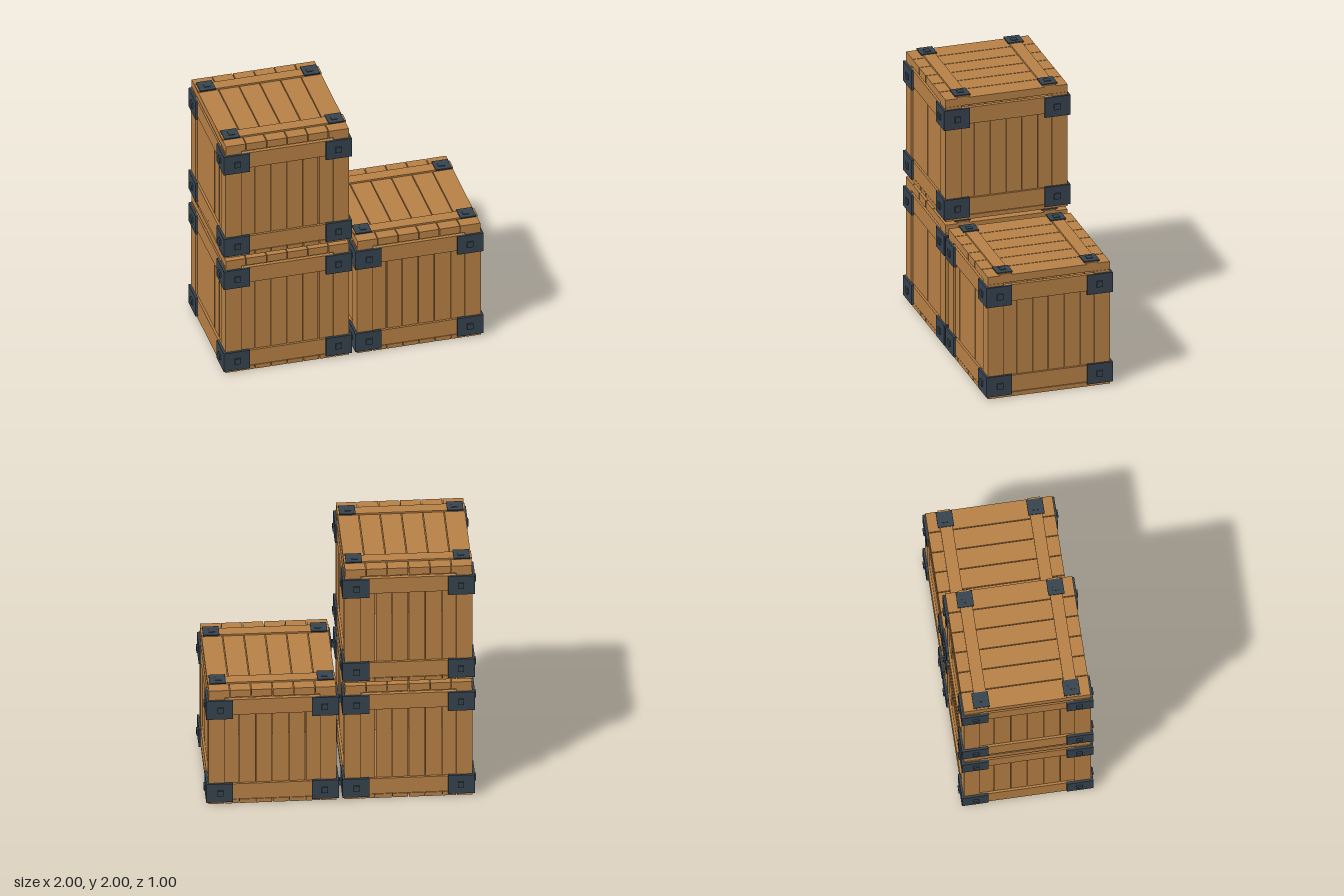
import * as THREE from 'three';

const wood = new THREE.MeshStandardMaterial({ color: 0xb88146 });
wood.name = 'wood';
const metal = new THREE.MeshStandardMaterial({ color: 0x36434e });
metal.name = 'darkMetal';

// Box given by its size and centre
function box(parent, name, material, size, centre) {
  const mesh = new THREE.Mesh(new THREE.BoxGeometry(...size), material);
  mesh.name = name;
  mesh.position.set(...centre);
  parent.add(mesh);
  return mesh;
}

// One wall facing +z: six upright planks and two flush rails between the posts
function createWall(wideGap) {
  const wall = new THREE.Group();
  wall.name = 'wall';
  const edges = [-0.352, -0.245, -0.122, 0, 0.122, 0.245, 0.352];
  for (let i = 0; i < 6; i++) {
    const a = edges[i] + 0.002;
    const b = edges[i + 1] - (wideGap && i === 4 ? 0.008 : 0.002);
    box(wall, 'wallPlank', wood, [b - a, 0.85, 0.03], [(a + b) / 2, 0.46, 0.44]);
  }
  box(wall, 'topRail', wood, [0.7, 0.13, 0.03], [0, 0.83, 0.457]);
  box(wall, 'bottomRail', wood, [0.7, 0.13, 0.03], [0, 0.105, 0.457]);
  return wall;
}

// Metal corner bracket wrapping two faces, with a square bolt on each
function createBracket(sx, sz, y) {
  const bracket = new THREE.Group();
  bracket.name = 'cornerBracket';
  const h = 0.157;
  box(bracket, 'bracketPlate', metal, [0.197, h, 0.02], [sx * 0.3885, y, sz * 0.477]);
  box(bracket, 'bracketPlate', metal, [0.02, h, 0.177], [sx * 0.477, y, sz * 0.3785]);
  box(bracket, 'bolt', metal, [0.046, 0.046, 0.014], [sx * 0.383, y, sz * 0.492]);
  box(bracket, 'bolt', metal, [0.014, 0.046, 0.046], [sx * 0.492, y, sz * 0.383]);
  return bracket;
}

function createCrate() {
  const crate = new THREE.Group();
  crate.name = 'crate';

  // Four walls
  for (let i = 0; i < 4; i++) {
    const wall = createWall(i % 2 === 0);
    // the back wall's wide gap lines up with the front one
    wall.rotation.y = i * Math.PI / 2;
    if (i === 2) wall.children.forEach((m) => { m.position.x *= -1; });
    crate.add(wall);
  }

  // Floor planks
  const floorEdges = [-0.47, -0.352, -0.245, -0.122, 0, 0.122, 0.245, 0.352, 0.47];
  for (let i = 0; i < 8; i++) {
    const a = floorEdges[i] + (i ? 0.003 : 0);
    const b = floorEdges[i + 1] - (i < 7 ? 0.003 : 0);
    box(crate, 'floorPlank', wood, [b - a, 0.033, 0.94], [(a + b) / 2, 0.0185, 0]);
  }

  // Lid planks
  const pitch = 0.94 / 6;
  for (let i = 0; i < 6; i++) {
    box(crate, 'lidPlank', wood, [pitch - 0.006, 0.06, 0.94], [(i - 2.5) * pitch, 0.945, 0]);
  }

  // Lid battens
  for (const sz of [-1, 1]) {
    box(crate, 'lidBatten', wood, [0.94, 0.014, 0.092], [0, 0.981, sz * 0.333]);
  }

  // Posts, brackets and lid plates at the corners
  for (const sx of [-1, 1]) {
    for (const sz of [-1, 1]) {
      box(crate, 'cornerPost', wood, [0.12, 0.88, 0.12], [sx * 0.41, 0.475, sz * 0.41]);
      crate.add(createBracket(sx, sz, 0.817), createBracket(sx, sz, 0.102));
      box(crate, 'lidPlate', metal, [0.12, 0.009, 0.12], [sx * 0.396, 0.991, sz * 0.335]);
      box(crate, 'lidBolt', metal, [0.046, 0.008, 0.046], [sx * 0.39, 0.996, sz * 0.335]);
    }
  }
  return crate;
}

export function createModel() {
  const model = new THREE.Group();
  model.name = 'stackedCrates';
  const places = [
    ['lowerRightCrate', -0.5, 0, 0],
    ['upperRightCrate', -0.5, 1, 0],
    ['lowerLeftCrate', 0.5, 0, Math.PI],
  ];
  for (const [name, x, y, turn] of places) {
    const crate = createCrate();
    crate.name = name;
    crate.position.set(x, y, 0);
    crate.rotation.y = turn;
    model.add(crate);
  }
  return model;
}
